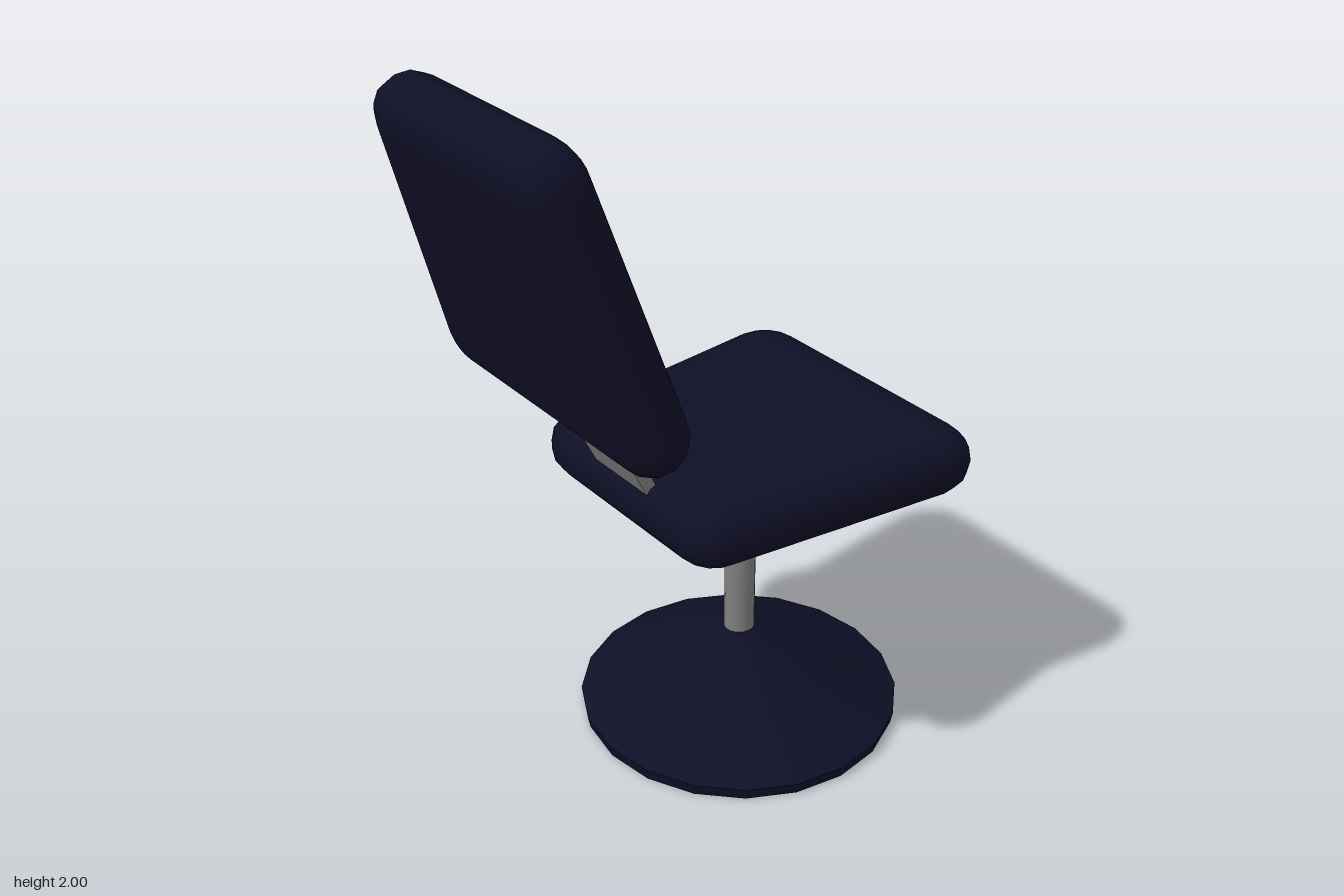
import * as THREE from 'three';

// Rounded trapezoid cushion lying flat, wide end at -z
function cushionGeometry(length, height, wide, narrow) {
  const r = 0.13, maxInset = 0.115, arcSteps = 4, layers = 8;
  const soft = v => Math.sign(v) * Math.pow(Math.abs(v), 0.85);
  const zc = length / 2 - r;
  const corners = [
    [narrow - r, zc], [-(narrow - r), zc],
    [-(wide - r), -zc], [wide - r, -zc],
  ];
  const positions = [], index = [];
  const n = 4 * (arcSteps + 1);
  // Stacked outlines, drawn in towards the top and bottom
  for (let j = 0; j <= layers; j++) {
    const phi = (j / layers - 0.5) * Math.PI;
    const radius = r - maxInset * (1 - soft(Math.cos(phi)));
    const y = height / 2 * soft(Math.sin(phi));
    corners.forEach(([cx, cz], k) => {
      for (let i = 0; i <= arcSteps; i++) {
        const a = (k + i / arcSteps) * Math.PI / 2;
        positions.push(cx + radius * soft(Math.cos(a)), y, cz + radius * soft(Math.sin(a)));
      }
    });
  }
  for (let j = 0; j < layers; j++) {
    for (let i = 0; i < n; i++) {
      const a = j * n + i, b = j * n + (i + 1) % n;
      index.push(a, a + n, b, b, a + n, b + n);
    }
  }
  // Flat top and bottom
  const bottom = positions.length / 3, top = bottom + 1, last = layers * n;
  positions.push(0, -height / 2, 0, 0, height / 2, 0);
  for (let i = 0; i < n; i++) {
    const next = (i + 1) % n;
    index.push(bottom, i, next, top, last + next, last + i);
  }
  const geometry = new THREE.BufferGeometry();
  geometry.setAttribute('position', new THREE.Float32BufferAttribute(positions, 3));
  geometry.setIndex(index);
  geometry.computeVertexNormals();
  return geometry;
}

export function createModel() {
  const model = new THREE.Group();
  model.name = 'swivelChair';
  const navy = new THREE.MeshStandardMaterial({ color: 0x0f0f26, side: THREE.DoubleSide });
  navy.name = 'navy';
  const grey = new THREE.MeshStandardMaterial({ color: 0x808080 });
  grey.name = 'grey';

  function add(name, geometry, material, x, y, z, tilt = 0) {
    const mesh = new THREE.Mesh(geometry, material);
    mesh.name = name;
    mesh.position.set(x, y, z);
    mesh.rotation.x = tilt;
    model.add(mesh);
    return mesh;
  }

  // Hollow conical foot with a low rim
  const axisZ = -0.187;
  add('footCone', new THREE.CylinderGeometry(0.04, 0.465, 0.225, 20, 1, true), navy, 0, 0.1475, axisZ);
  add('footRim', new THREE.CylinderGeometry(0.465, 0.458, 0.035, 20, 1, true), navy, 0, 0.0175, axisZ);

  // Pole
  add('pole', new THREE.CylinderGeometry(0.044, 0.044, 0.56, 20), grey, -0.002, 0.51, axisZ);

  // Seat and leaning backrest share one cushion shape
  const cushion = cushionGeometry(0.91, 0.185, 0.462, 0.385);
  add('seat', cushion, navy, -0.0075, 0.8475, -0.22);
  const backrest = add('backrest', cushion, navy, -0.0075, 1.57, 0.482, -THREE.MathUtils.degToRad(72.7));
  backrest.scale.set(1, 0.97, 0.97);

  // Flat bracket joining seat and backrest
  add('backBracket', new THREE.BoxGeometry(0.23, 0.33, 0.035), grey, -0.006, 1.04, 0.265, THREE.MathUtils.degToRad(26.6));

  return model;
}
